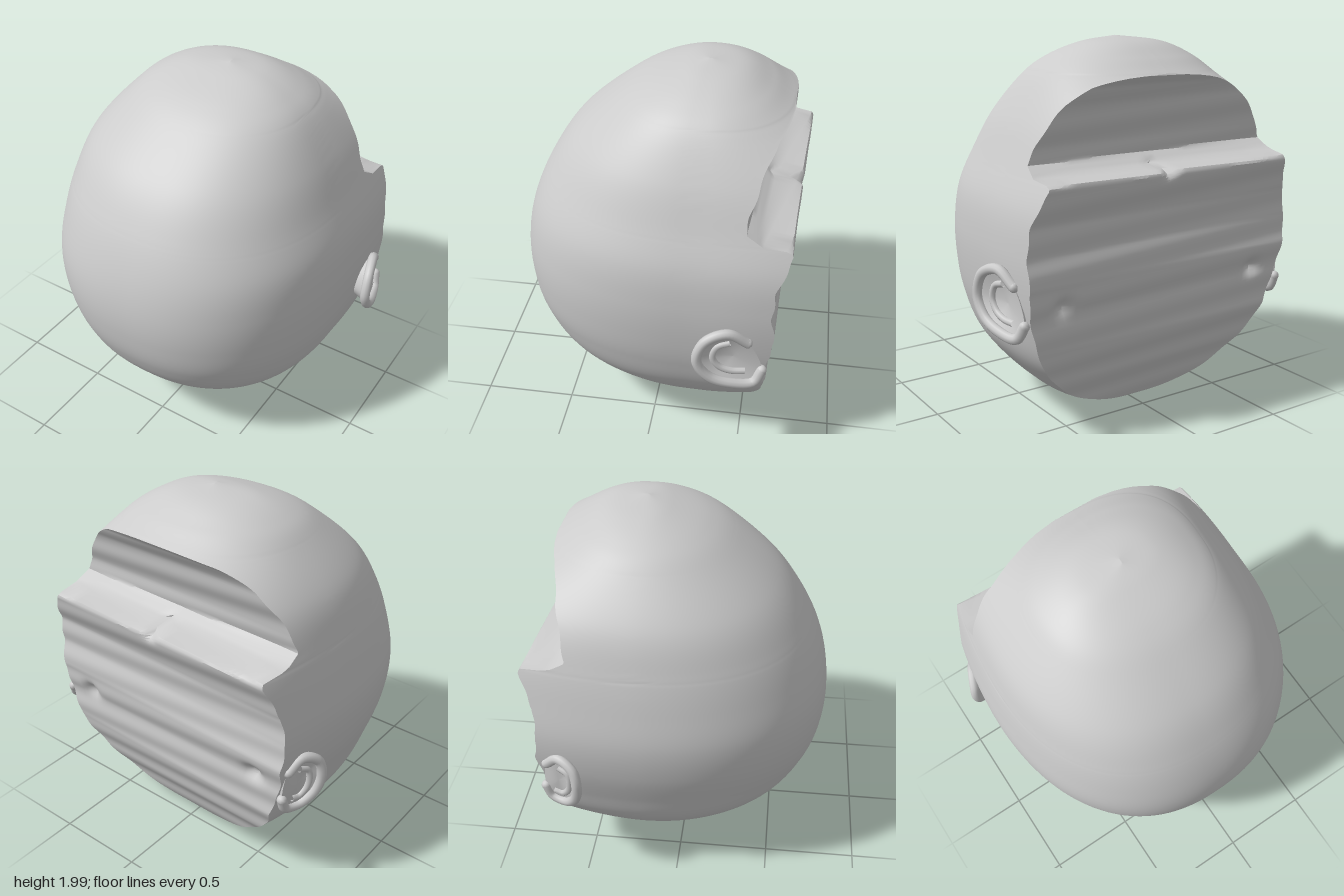
import * as THREE from 'three';
import { toCreasedNormals } from 'three/addons/utils/BufferGeometryUtils.js';

const MID = -0.22; // depth of the widest part of each horizontal section
const ROWS = 220;

// Horizontal sections: y, half width at -x, half width at +x, front z, rear z before the cut
const SECTIONS = [
  [0.01, 0, 0, -0.21, -0.23],
  [0.04, 0.2, 0.22, -0.02, -0.38],
  [0.1, 0.37, 0.37, 0.14, -0.58],
  [0.2, 0.53, 0.53, 0.36, -0.85],
  [0.4, 0.71, 0.7, 0.61, -1.25],
  [0.6, 0.79, 0.77, 0.73, -1.45],
  [0.8, 0.85, 0.8, 0.775, -1.5],
  [1.0, 0.87, 0.805, 0.775, -1.5],
  [1.2, 0.84, 0.78, 0.73, -1.5],
  [1.4, 0.79, 0.7, 0.64, -1.45],
  [1.6, 0.71, 0.61, 0.5, -1.15],
  [1.8, 0.54, 0.48, 0.27, -0.72],
  [1.9, 0.42, 0.36, 0.11, -0.55],
  [1.97, 0.25, 0.2, -0.08, -0.41],
  [2.0, 0, 0, -0.21, -0.23],
];

// Stepped profile of the sliced rear: y, z
const CUT = [
  [0, -0.4], [0.07, -0.47], [0.3, -0.58], [0.5, -0.65], [0.7, -0.66], [0.85, -0.69],
  [1.0, -0.67], [1.15, -0.68], [1.2, -0.7], [1.335, -0.75], [1.355, -0.74], [1.37, -0.6],
  [1.42, -0.51], [1.5, -0.52], [1.6, -0.55], [1.7, -0.58], [1.78, -0.62], [1.83, -0.69], [1.9, -1.1], [2.1, -1.2],
];

// Small pits in the sliced face: x, y, radius, depth
const PITS = [[0.02, 1.35, 0.03, 0.06], [0.6, 0.72, 0.045, 0.04], [-0.6, 0.74, 0.045, 0.04]];

function cutZ(x, y) {
  const v = THREE.MathUtils.clamp(y + 0.02 * x, 0, 2.09);
  const k = CUT.findIndex((p) => p[0] > v);
  const [y0, z0] = CUT[k - 1];
  const [y1, z1] = CUT[k];
  let z = z0 + ((z1 - z0) * (v - y0)) / (y1 - y0) + 0.035 * x;
  z += 0.005 * Math.sin(v * 38 + x * 2);
  for (const [px, py, r, d] of PITS) z += d * Math.exp(-((x - px) ** 2 + (y - py) ** 2) / (r * r));
  return z;
}

// Mesh strip over a grid of points; columns run anticlockwise seen from above, rows run up
function gridGeometry(rows, closed = false) {
  const n = rows[0].length;
  const index = [];
  for (let i = 0; i < rows.length - 1; i++) {
    for (let j = 0; j < (closed ? n : n - 1); j++) {
      const k = (j + 1) % n;
      const a = i * n + j, b = i * n + k, c = (i + 1) * n + k, d = (i + 1) * n + j;
      index.push(a, b, c, a, c, d);
    }
  }
  const geo = new THREE.BufferGeometry().setFromPoints(rows.flat());
  geo.setIndex(index);
  geo.computeVertexNormals();
  return geo;
}

// Point on a rounded horizontal section; angle 0 faces the front
function sectionPoint(s, t) {
  const pw = (v) => Math.sign(v) * Math.abs(v) ** (2 / 2.3);
  const cos = pw(Math.cos(t));
  const z = MID + cos * (cos > 0 ? s.front - MID : MID - s.rear);
  const x = (s.right - s.left) / 2 + pw(Math.sin(t)) * (s.right + s.left) / 2;
  return new THREE.Vector3(x + 0.05 * Math.max(0, MID - z), s.y, z);
}

// Angle where a section meets the slice, on side +1 or -1
function cutAngle(s, side) {
  const outside = (t) => {
    const p = sectionPoint(s, side * t);
    return p.z < cutZ(p.x, p.y);
  };
  if (!outside(Math.PI)) return side * Math.PI;
  let lo = Math.PI / 2, hi = Math.PI;
  for (let i = 0; i < 30; i++) {
    const m = (lo + hi) / 2;
    if (outside(m)) hi = m;
    else lo = m;
  }
  return side * lo;
}

function headRows() {
  const curve = (a, b) => new THREE.CatmullRomCurve3(
    SECTIONS.map((s) => new THREE.Vector3(s[a], s[0], s[b])), false, 'catmullrom', 0.5);
  const widths = curve(1, 2);
  const depths = curve(3, 4);
  const scalp = [];
  const cut = [];
  for (let i = 0; i <= ROWS; i++) {
    const w = widths.getPoint(i / ROWS);
    const d = depths.getPoint(i / ROWS);
    const s = { y: w.y, left: w.x, right: w.z, front: d.x, rear: d.z };
    const t0 = cutAngle(s, -1);
    const t1 = cutAngle(s, 1);
    scalp.push(Array.from({ length: 73 }, (_, j) => sectionPoint(s, t0 + ((t1 - t0) * j) / 72)));
    const a = sectionPoint(s, t1);
    const b = sectionPoint(s, t0);
    const sliced = t1 < Math.PI && t0 > -Math.PI;
    cut.push(Array.from({ length: 49 }, (_, j) => {
      const p = a.clone().lerp(b, j / 48);
      if (sliced && j > 0 && j < 48) p.z = cutZ(p.x, p.y);
      return p;
    }));
  }
  return { scalp, cut };
}

// Ear: rolled rim, hollow bowl, skirt joining the head and an inner fold
function createEar(name, rim, centre, baseX, mat) {
  const ear = new THREE.Group();
  ear.name = name;
  const c = new THREE.Vector3(...centre);
  const points = rim.map((p) => new THREE.Vector3(...p));
  const add = (geo, part) => {
    const mesh = new THREE.Mesh(geo, mat);
    mesh.name = part;
    ear.add(mesh);
  };
  const open = new THREE.CatmullRomCurve3(points);
  add(new THREE.TubeGeometry(open, 48, 0.027, 10), 'earRim');
  for (const end of [points[0], points[points.length - 1]]) {
    const cap = new THREE.SphereGeometry(0.027, 10, 8);
    cap.translate(end.x, end.y, end.z);
    add(cap, 'earRimEnd');
  }

  const loop = new THREE.CatmullRomCurve3(points, true).getPoints(48).slice(0, 48);
  const bowl = [0, 0.25, 0.5, 0.75, 1].map((s) => loop.map((p) => {
    const q = p.clone().lerp(c, s);
    q.x = THREE.MathUtils.lerp(p.x, c.x, Math.sin((s * Math.PI) / 2));
    return q;
  }));
  add(gridGeometry(bowl, true), 'earBowl');
  const skirt = [0, 0.5, 1].map((s) => loop.map((p) => {
    const q = p.clone().lerp(c, 0.3 * s);
    q.x = THREE.MathUtils.lerp(p.x, baseX, s);
    return q;
  }));
  add(gridGeometry(skirt, true), 'earBack');

  const fold = new THREE.CatmullRomCurve3(points.slice(1, -1).map((p) => {
    const q = p.clone().lerp(c, 0.42);
    q.x = THREE.MathUtils.lerp(p.x, c.x, 0.6);
    return q;
  }));
  add(new THREE.TubeGeometry(fold, 32, 0.018, 8), 'earFold');
  return ear;
}

export function createModel() {
  const group = new THREE.Group();
  group.name = 'slicedHead';
  const mat = new THREE.MeshStandardMaterial({ color: 0xcccccc, side: THREE.DoubleSide });

  const { scalp, cut } = headRows();
  const dome = new THREE.Mesh(gridGeometry(scalp), mat);
  dome.name = 'scalp';
  const face = new THREE.Mesh(toCreasedNormals(gridGeometry(cut), 0.7), mat);
  face.name = 'slicedFace';
  group.add(dome, face);

  group.add(createEar('leftEar', [
    [0.81, 0.83, -0.53], [0.84, 0.9, -0.43], [0.87, 0.86, -0.32], [0.88, 0.74, -0.28],
    [0.875, 0.64, -0.34], [0.855, 0.59, -0.45], [0.82, 0.58, -0.57], [0.8, 0.65, -0.61],
  ], [0.805, 0.73, -0.46], 0.74, mat));
  group.add(createEar('rightEar', [
    [-0.8, 0.83, -0.66], [-0.83, 0.89, -0.59], [-0.87, 0.85, -0.51], [-0.885, 0.76, -0.49],
    [-0.86, 0.65, -0.51], [-0.81, 0.58, -0.57], [-0.78, 0.59, -0.65], [-0.78, 0.66, -0.68],
  ], [-0.815, 0.73, -0.6], -0.73, mat));
  return group;
}
